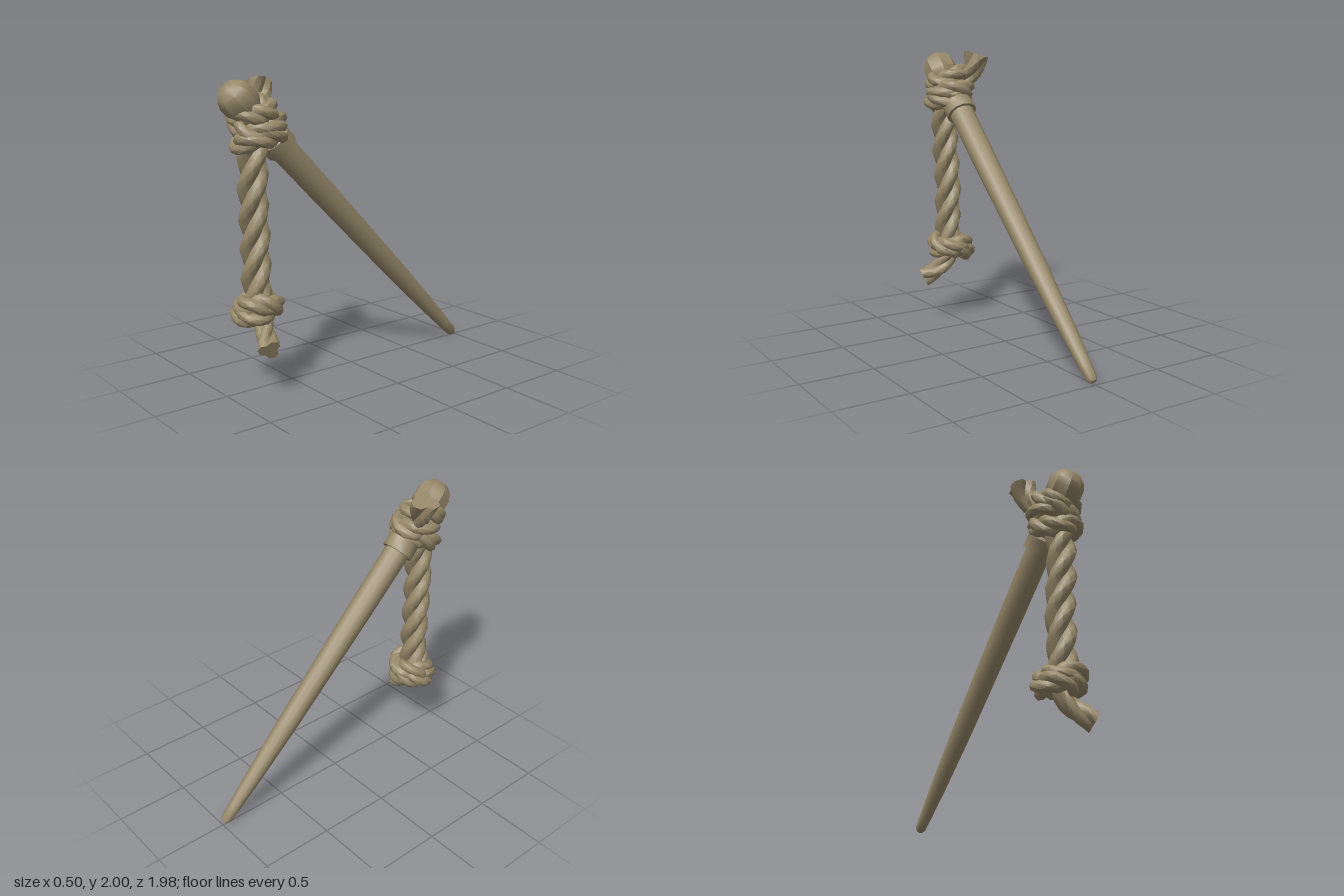
import * as THREE from 'three';
import { toCreasedNormals } from 'three/addons/utils/BufferGeometryUtils.js';

const material = new THREE.MeshStandardMaterial({ color: 0x968869 });
const SIDES = 12;

function addMesh(parent, name, geometry) {
  const mesh = new THREE.Mesh(toCreasedNormals(geometry, 0.7), material);
  mesh.name = name;
  parent.add(mesh);
}

// Three-strand rope: a three-lobed section swept and twisted along a curve
function rope(points, { radius, turns, steps, closed = false, flare = () => 1 }) {
  const curve = new THREE.CatmullRomCurve3(points.map((p) => new THREE.Vector3(...p)), closed);
  const frames = curve.computeFrenetFrames(steps, closed);
  const pos = [], index = [];
  for (let i = 0; i <= steps; i++) {
    const t = i / steps, c = curve.getPointAt(t);
    const n = frames.normals[i], b = frames.binormals[i];
    for (let j = 0; j < SIDES; j++) {
      const a = (j / SIDES) * Math.PI * 2;
      const r = radius * flare(t) * (0.6 + 0.4 * Math.abs(Math.cos(1.5 * a)));
      const w = a + t * turns * Math.PI * 2;
      const p = c.clone().addScaledVector(n, r * Math.cos(w)).addScaledVector(b, r * Math.sin(w));
      pos.push(p.x, p.y, p.z);
    }
  }
  for (let i = 0; i < steps; i++) {
    for (let j = 0; j < SIDES; j++) {
      const k = (j + 1) % SIDES, a = i * SIDES, d = a + SIDES;
      index.push(a + j, a + k, d + j, a + k, d + k, d + j);
    }
  }
  if (!closed) { // end caps
    for (const [row, t] of [[0, 0], [steps, 1]]) {
      const c = curve.getPointAt(t), centre = pos.length / 3;
      pos.push(c.x, c.y, c.z);
      for (let j = 0; j < SIDES; j++) {
        const a = row * SIDES + j, b = row * SIDES + ((j + 1) % SIDES);
        if (t) index.push(centre, a, b); else index.push(centre, b, a);
      }
    }
  }
  const g = new THREE.BufferGeometry();
  g.setAttribute('position', new THREE.Float32BufferAttribute(pos, 3));
  g.setIndex(index);
  return g;
}

// One wrap of a knot: tilted loop, rising by slopeX and slopeZ, with a slight wave
function wrap([cx, cy, cz], rx, rz, slopeX, slopeZ, wave) {
  const points = [];
  for (let i = 0; i < 10; i++) {
    const a = (i / 10) * Math.PI * 2, x = rx * Math.sin(a), z = rz * Math.cos(a);
    points.push([cx + x, cy + x * slopeX + z * slopeZ + wave * Math.sin(2 * a), cz + z]);
  }
  return rope(points, { radius: 0.073, turns: 5 / 3, steps: 18, closed: true });
}

function lathe(profile, sides) {
  return new THREE.LatheGeometry(profile.map(([r, y]) => new THREE.Vector2(r, y)), sides, Math.PI / sides);
}

export function createModel() {
  const model = new THREE.Group();
  model.name = 'ropedSpike';

  // Spike leaning at 45 degrees, tip at the origin of its group
  const spike = new THREE.Group();
  spike.name = 'spike';
  spike.position.set(0.004, 0.022, -0.978);
  spike.rotation.x = Math.PI / 4;
  model.add(spike);
  addMesh(spike, 'shaft', lathe([[0, -0.005], [0.022, -0.005], [0.036, 0.02], [0.043, 0.12], [0.055, 0.35],
    [0.07, 0.8], [0.078, 1.3], [0.085, 1.75], [0.088, 2.2], [0.085, 2.52]], 12));
  addMesh(spike, 'collar', lathe([[0.08, 2.17], [0.11, 2.17], [0.11, 2.26], [0.08, 2.28]], 12));
  addMesh(spike, 'knob', lathe([[0.08, 2.49], [0.09, 2.5], [0.12, 2.55], [0.12, 2.64],
    [0.102, 2.685], [0.06, 2.725], [0, 2.735]], 8));

  // Hanging rope
  addMesh(model, 'hangingRope', rope(
    [[0.0, 0.5, 0.76], [0.01, 0.75, 0.77], [0.005, 1.0, 0.77], [0.015, 1.3, 0.785], [0.025, 1.65, 0.78]],
    { radius: 0.1, turns: 2, steps: 24 }));

  // Hitch around the spike
  const hitch = new THREE.Group();
  hitch.name = 'hitch';
  model.add(hitch);
  addMesh(hitch, 'lowerWrap', wrap([0.015, 1.635, 0.735], 0.11, 0.12, 0.1, -0.28, 0.015));
  addMesh(hitch, 'middleWrap', wrap([0.005, 1.715, 0.73], 0.115, 0.125, -0.2, -0.1, -0.02));
  addMesh(hitch, 'upperWrap', wrap([0, 1.795, 0.765], 0.105, 0.1, -0.15, -0.25, 0.015));
  addMesh(hitch, 'shortEnd', rope(
    [[-0.05, 1.73, 0.7], [-0.1, 1.81, 0.66], [-0.14, 1.88, 0.63], [-0.17, 1.97, 0.62]],
    { radius: 0.08, turns: 0.35, steps: 7, flare: (t) => 0.8 + 0.5 * t * t }));

  // Stopper knot at the bottom
  const knot = new THREE.Group();
  knot.name = 'stopperKnot';
  model.add(knot);
  addMesh(knot, 'upperLoop', wrap([0.005, 0.572, 0.75], 0.105, 0.1, 0.1, 0.05, 0.015));
  addMesh(knot, 'lowerLoop', wrap([-0.015, 0.52, 0.755], 0.11, 0.1, 0.15, -0.15, -0.01));
  addMesh(knot, 'looseEnd', rope(
    [[0.0, 0.55, 0.72], [0.04, 0.46, 0.735], [0.11, 0.375, 0.765], [0.205, 0.325, 0.805]],
    { radius: 0.078, turns: 0.55, steps: 7, flare: (t) => 0.85 + 0.15 * t * t }));

  return model;
}
